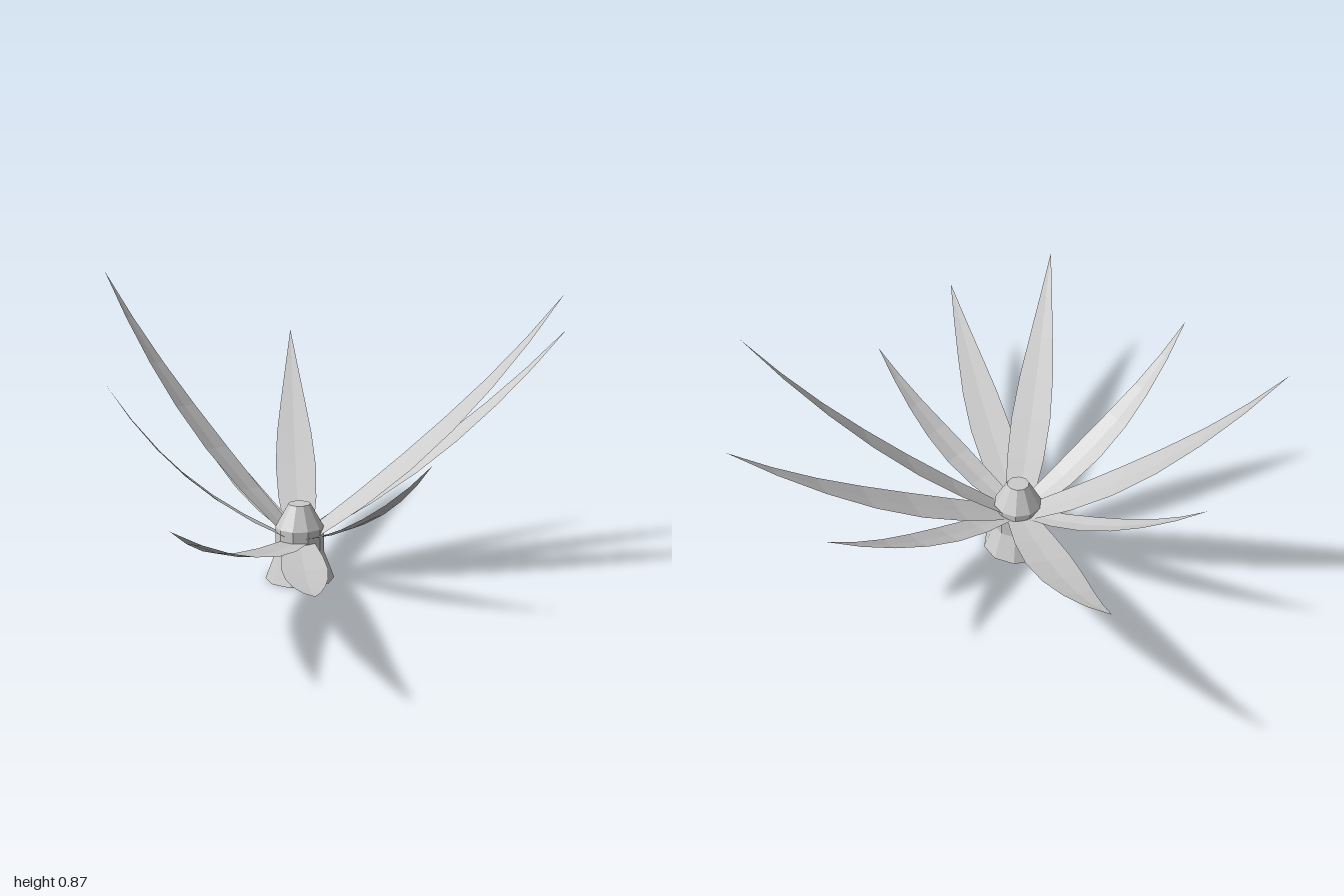
import * as THREE from 'three';

export function createModel() {
  const plant = new THREE.Group();
  plant.name = 'plant';
  const centre = new THREE.Vector3(-0.127, 0, -0.04);
  const solid = new THREE.MeshStandardMaterial({ color: 0xcccccc, flatShading: true });
  const thin = new THREE.MeshStandardMaterial({ color: 0xcccccc, flatShading: true, side: THREE.DoubleSide });

  // Ten-sided stem: flared foot, straight neck and tapering bud
  const profile = [[0, 0], [0.103, 0], [0.073, 0.08], [0.072, 0.16], [0.033, 0.23], [0, 0.23]]
    .map(([r, y]) => new THREE.Vector2(r, y));
  const stem = new THREE.Mesh(new THREE.LatheGeometry(profile, 10, Math.PI / 10), solid);
  stem.name = 'stem';
  stem.position.copy(centre);
  plant.add(stem);

  // Half-width factor along a leaf, from root to tip
  const taper = [0.68, 0.92, 1, 0.88, 0.62, 0.32, 0];
  const rows = taper.length - 1;

  // Thin pointed leaf, bowed along its length, rolled a little and faintly folded at the midrib
  function makeLeaf(x, y, z, width, bow, rootY, roll) {
    const tip = new THREE.Vector3(x, y, z);
    const out = new THREE.Vector3(x - centre.x, 0, z - centre.z).normalize();
    const level = new THREE.Vector3(out.z, 0, -out.x);
    const root = centre.clone().addScaledVector(out, 0.05).setY(rootY);
    const along = tip.clone().sub(root).normalize();
    const up = along.clone().cross(level);
    const side = level.clone().applyAxisAngle(along, roll);
    const fold = up.clone().applyAxisAngle(along, roll);
    const bend = root.clone().lerp(tip, 0.5).addScaledVector(up, -bow);
    const curve = new THREE.QuadraticBezierCurve3(root, bend, tip);

    const geometry = new THREE.PlaneGeometry(1, 1, 2, rows);
    const pos = geometry.attributes.position;
    for (let i = 0; i < pos.count; i++) {
      const row = Math.floor(i / 3), column = (i % 3) - 1;
      const p = curve.getPoint(row / rows);
      p.addScaledVector(side, column * taper[row] * width / 2);
      if (column === 0) p.addScaledVector(fold, -0.004 * taper[row]);
      pos.setXYZ(i, p.x, p.y, p.z);
    }
    geometry.computeVertexNormals();
    return new THREE.Mesh(geometry, thin);
  }

  // Tip position, width, bow, root height and roll of each leaf
  const leaves = [
    [-0.125, 0.595, -1.0, 0.128, 0.095, 0.138, 0.04],
    [-0.72, 0.865, -0.515, 0.122, 0.09, 0.145, 0.2],
    [-0.512, 0.505, -0.585, 0.082, 0.08, 0.14, 0],
    [-0.668, 0.628, 0.125, 0.105, 0.1, 0.138, 0],
    [-0.458, 0.435, 0.91, 0.124, 0.095, 0.125, 0],
    [-0.125, 0.3, 1.0, 0.128, 0.065, 0.122, 0],
    [0.213, 0.458, 0.42, 0.092, 0.08, 0.135, 0],
    [0.645, 0.848, -0.035, 0.128, 0.085, 0.145, 0.17],
    [0.718, 0.698, -0.327, 0.118, 0.085, 0.142, -0.08],
    [0.49, 0.485, -0.48, 0.088, 0.08, 0.138, 0],
  ];
  leaves.forEach((spec, i) => {
    const leaf = makeLeaf(...spec);
    leaf.name = `leaf${i + 1}`;
    plant.add(leaf);
  });
  return plant;
}
